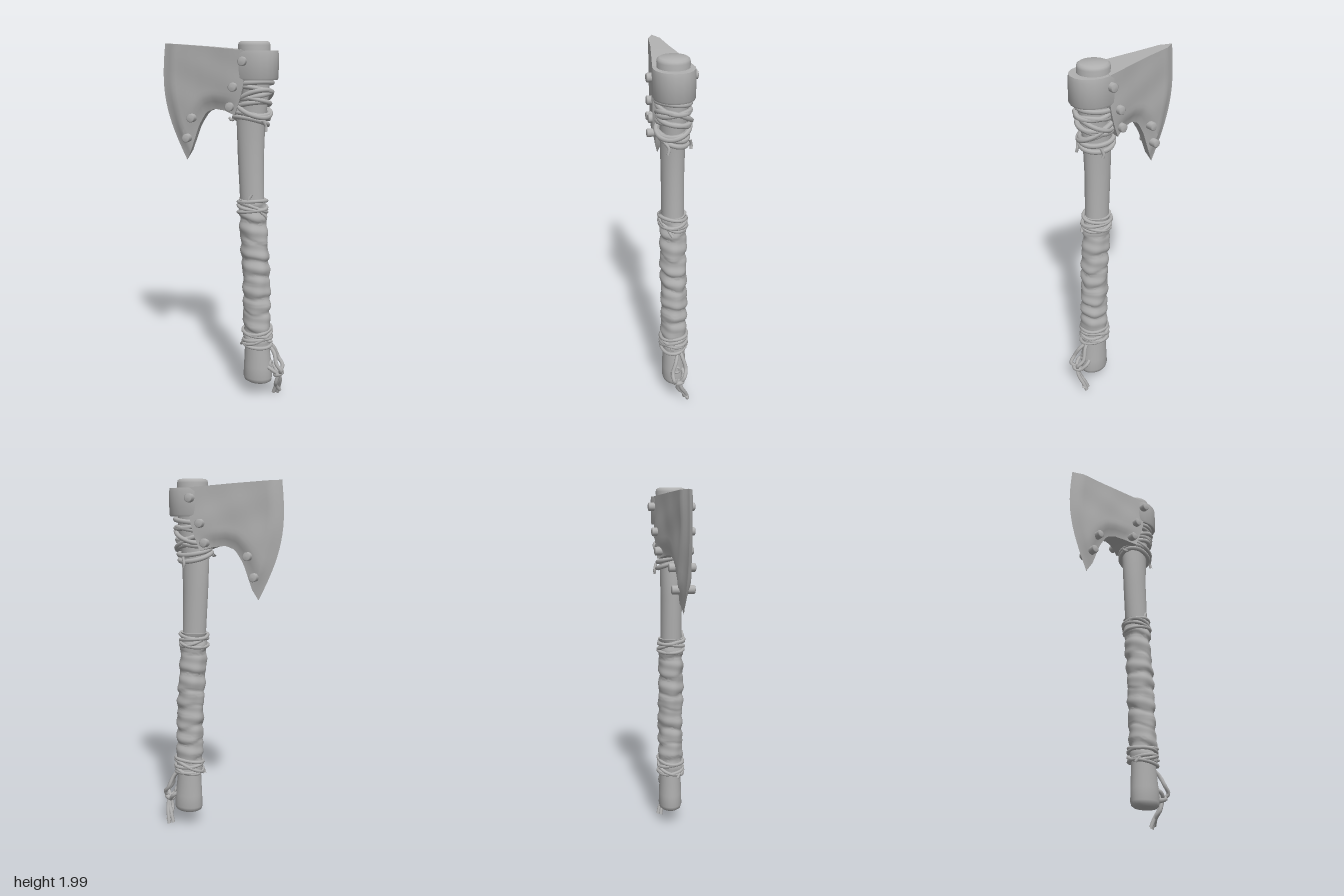
import * as THREE from 'three';
import { mergeVertices, toCreasedNormals } from 'three/addons/utils/BufferGeometryUtils.js';

const V = (x, y, z) => new THREE.Vector3(x, y, z);
const { lerp, smoothstep, clamp } = THREE.MathUtils;
const clay = new THREE.MeshStandardMaterial({ color: 0xb0b0b0 });
clay.name = 'plain grey';

// Reads a table of [key, value, ...] rows with straight interpolation
function sample(table, k) {
  let i = 0;
  while (i < table.length - 2 && k > table[i + 1][0]) i++;
  const a = table[i], b = table[i + 1];
  const t = clamp((k - a[0]) / (b[0] - a[0]), 0, 1);
  return a.map((v, j) => lerp(v, b[j], t));
}

// Skins closed rings into a capped solid; rings run anticlockwise seen from the last ring's end
function loft(rings, crease) {
  const n = rings[0].length, pos = [], idx = [];
  rings.forEach(r => r.forEach(p => pos.push(p.x, p.y, p.z)));
  for (let i = 0; i < rings.length - 1; i++) for (let j = 0; j < n; j++) {
    const a = i * n + j, b = i * n + (j + 1) % n;
    idx.push(a, b, a + n, b, b + n, a + n);
  }
  [0, rings.length - 1].forEach((k, end) => {
    const c = rings[k].reduce((s, p) => s.add(p), V(0, 0, 0)).divideScalar(n);
    pos.push(c.x, c.y, c.z);
    const m = pos.length / 3 - 1;
    for (let j = 0; j < n; j++) {
      const a = k * n + j, b = k * n + (j + 1) % n;
      idx.push(...(end ? [m, a, b] : [m, b, a]));
    }
  });
  const g = new THREE.BufferGeometry();
  g.setAttribute('position', new THREE.Float32BufferAttribute(pos, 3));
  g.setIndex(idx);
  return toCreasedNormals(mergeVertices(g), crease);
}

// Handle centre line: y, centre x, radius in x, radius in z
const shaft = [
  [0.10, 0.2, 0.066, 0.052], [0.11, 0.198, 0.079, 0.064], [0.13, 0.197, 0.084, 0.069], [0.20, 0.196, 0.08, 0.068],
  [0.33, 0.19, 0.069, 0.062], [0.6, 0.186, 0.068, 0.063], [0.9, 0.17, 0.068, 0.063],
  [1.15, 0.153, 0.066, 0.06], [1.4, 0.143, 0.071, 0.06], [1.6, 0.142, 0.078, 0.064],
  [1.75, 0.165, 0.075, 0.068], [1.85, 0.157, 0.08, 0.078], [1.98, 0.156, 0.084, 0.082],
  [1.993, 0.156, 0.081, 0.079], [2.0, 0.156, 0.07, 0.068],
];
const shaftRing = (y, n, grow) => Array.from({ length: n }, (_, j) => {
  const a = j / n * Math.PI * 2, [, cx, rx, rz] = sample(shaft, y), g = grow(a);
  return V(cx + Math.cos(a) * (rx + g), y, -Math.sin(a) * (rz + g));
});

function tube(points, r, closed = false) {
  const curve = new THREE.CatmullRomCurve3(points, closed);
  return new THREE.TubeGeometry(curve, closed ? 40 : points.length * 6, r, 7, closed);
}

export function createModel() {
  const root = new THREE.Group();
  root.name = 'axe';
  const add = (name, geo, parent = root) => {
    const m = new THREE.Mesh(geo, clay);
    m.name = name;
    parent.add(m);
    return m;
  };
  const group = name => {
    const g = new THREE.Group();
    g.name = name;
    root.add(g);
    return g;
  };

  // Wooden handle
  add('handle', loft(shaft.map(r => shaftRing(r[0], 24, () => 0)), 1));

  // Leather grip: uneven bands that overlap like a bandage, with creases
  const grip = [];
  for (let i = 0; i <= 90; i++) {
    const y = 0.34 + i / 90 * 0.83;
    grip.push(shaftRing(y, 32, a => {
      const t = y / 0.105 + 0.12 * Math.sin(a * 2 + y * 9) + 0.08 * Math.cos(a) + 0.1 * Math.sin(y * 23);
      const f = t - Math.floor(t);
      return 0.002 + 0.009 * Math.sin(Math.PI * Math.pow(f, 0.6))
        + 0.005 * Math.sin(a * 3 + y * 37) * Math.sin(a * 2 - y * 52);
    }));
  }
  add('leatherGrip', loft(grip, 1.2));

  // Axe blade: rings run from the cutting edge to the cheek beside the eye
  const topLine = [[0, -0.345, 1.99], [0.12, -0.285, 1.987], [0.5, -0.11, 1.975], [1, 0.13, 1.955]];
  const lowLine = [[0, -0.225, 1.365], [0.12, -0.195, 1.42], [0.3, -0.145, 1.56], [0.42, -0.1, 1.632],
    [0.55, -0.05, 1.652], [0.75, 0.015, 1.645], [1, 0.078, 1.625]];
  const thickness = [[-0.36, 0.03], [-0.29, 0.03], [-0.15, 0.048], [0, 0.075], [0.1, 0.093], [0.17, 0.105]];
  const blade = [], U = 25, N = 16;
  for (let i = 0; i <= U; i++) {
    const u = i / U, [, tx, ty] = sample(topLine, u), [, bx, by] = sample(lowLine, u), front = [], back = [];
    for (let j = 0; j <= N; j++) {
      const v = j / N, s = Math.sin(Math.PI * v);
      const x = lerp(tx, bx, v) - 0.06 * s * Math.pow(1 - u, 2) + 0.025 * s * u * u;
      const y = lerp(ty, by, v);
      const dent = 0.004 * s * Math.sin(x * 21 + y * 9) * Math.sin(y * 17 - x * 8);
      const beard = 1 - 0.6 * smoothstep(v, 0.75, 1) * (1 - u * u);
      const h = Math.max(0.001, (sample(thickness, x)[1] + dent) * Math.min(1, u / 0.12) * beard);
      front.push(V(x, y, h));
      back.unshift(V(x, y, -h));
    }
    blade.push([...front, ...back]);
  }
  add('blade', loft(blade, 0.6));

  // Socket that closes around the top of the handle
  const half = [[0.09, 0.09], [0.14, 0.104], [0.185, 0.106], [0.22, 0.096], [0.25, 0.078], [0.272, 0.052], [0.284, 0.02]];
  const plan = [...half, ...half.map(([x, z]) => [x, -z]).reverse()];
  const socket = [[1.805, 0.96], [1.815, 1], [1.935, 1], [1.953, 0.97]].map(([y, s]) =>
    plan.map(([x, z]) => V(0.156 + (x - 0.156) * s, y + (y > 1.9 ? 0.01 * (0.2 - x) : 0), z * s)));
  add('socket', loft(socket, 0.9));

  // Rivets, each one pin with a head on both sides
  const rivets = group('rivets');
  [[0.127, 1.9, 0.13], [0.073, 1.77, 0.12], [0.052, 1.668, 0.108], [-0.178, 1.6, 0.072], [-0.21, 1.49, 0.063]]
    .forEach(([x, y, z]) => {
      const profile = [[0, -z], [0.018, -z + 0.001], [0.023, -z + 0.005], [0.023, z - 0.005], [0.018, z - 0.001], [0, z]]
        .map(p => new THREE.Vector2(...p));
      const m = add('rivet', new THREE.LatheGeometry(profile, 14), rivets);
      m.rotation.x = Math.PI / 2;
      m.position.set(x, y, 0);
    });

  // Cord loops tied around the handle: y, tilt in x, tilt in z, standoff
  const cordLoop = (parent, y, tx, tz, off, r) => {
    const pts = Array.from({ length: 16 }, (_, j) => {
      const a = j / 16 * Math.PI * 2, [, cx, rx, rz] = sample(shaft, y);
      const o = off + 0.003 * Math.sin(a * 3 + y * 40);
      return V(cx + Math.cos(a) * (rx + o), y + tx * Math.cos(a) + tz * Math.sin(a), Math.sin(a) * (rz + o));
    });
    add('cord', tube(pts, r, true), parent);
  };
  const upper = group('upperBinding'), middle = group('middleBinding'), lower = group('lowerBinding');
  [[1.785, 0.008, 0.008], [1.757, -0.012, 0.012], [1.728, 0.015, -0.012], [1.7, -0.014, 0.014], [1.672, 0.016, 0.016],
    [1.645, -0.018, -0.014], [1.618, -0.012, 0.016], [1.59, -0.014, 0.022], [1.71, 0.035, 0.03], [1.66, -0.04, -0.025]]
    .forEach(([y, a, b], i) => cordLoop(upper, y, a, b, i > 7 ? 0.018 : 0.012, 0.013));
  [[1.155, 0.008, 0.01], [1.13, -0.008, -0.008], [1.105, 0.012, 0.006], [1.125, -0.024, 0.02]]
    .forEach(([y, a, b]) => cordLoop(middle, y, a, b, 0.011, 0.01));
  [[0.415, 0.008, -0.01], [0.39, -0.01, 0.008], [0.36, 0.012, 0.01], [0.338, -0.008, -0.012], [0.375, 0.03, -0.022]]
    .forEach(([y, a, b]) => cordLoop(lower, y, a, b, 0.011, 0.01));

  // Frayed cord ends sticking out of the bindings
  const ends = group('cordEnds');
  [[[0.22, 1.6, 0.06], [0.235, 1.57, 0.04], [0.24, 1.54, 0.045]], [[0.07, 1.61, 0.03], [0.045, 1.595, 0.03], [0.03, 1.605, 0.02]],
    [[0.18, 1.59, -0.08], [0.17, 1.555, -0.09], [0.175, 1.535, -0.088]], [[0.15, 1.15, 0.07], [0.155, 1.18, 0.068], [0.17, 1.205, 0.062]],
    [[0.21, 1.11, 0.04], [0.23, 1.09, 0.03], [0.24, 1.075, 0.02]], [[0.13, 0.36, 0.05], [0.115, 0.34, 0.04], [0.105, 0.325, 0.03]],
    [[0.25, 0.37, 0.03], [0.27, 0.36, 0.03], [0.285, 0.365, 0.02]]]
    .forEach(p => add('cordEnd', tube(p.map(q => V(...q)), 0.008), ends));

  // Lanyard: two loops through the butt, a knot and hanging strands
  const lanyard = group('lanyard');
  [[[0.22, 0.21, 0], [0.28, 0.195, 0.03], [0.31, 0.17, 0.02], [0.32, 0.155, 0]],
    [[0.25, 0.34, -0.02], [0.28, 0.305, -0.03], [0.305, 0.24, -0.045], [0.335, 0.2, -0.03], [0.325, 0.16, -0.005]],
    [[0.25, 0.33, -0.01], [0.295, 0.285, 0.01], [0.315, 0.23, 0.032], [0.342, 0.19, 0.03], [0.32, 0.16, 0.005]],
    [[0.23, 0.22, -0.02], [0.275, 0.19, -0.04], [0.31, 0.15, -0.02]],
    [[0.325, 0.16, 0], [0.315, 0.11, -0.015], [0.295, 0.06, -0.035], [0.28, 0.015, -0.045]],
    [[0.325, 0.16, 0], [0.325, 0.11, -0.02], [0.312, 0.06, -0.045], [0.3, 0.012, -0.06]],
    [[0.32, 0.15, 0.005], [0.305, 0.1, 0], [0.3, 0.07, -0.025], [0.315, 0.03, -0.055]]]
    .forEach(p => add('strand', tube(p.map(q => V(...q)), 0.011), lanyard));
  const knot = add('knot', new THREE.TorusGeometry(0.02, 0.014, 8, 16), lanyard);
  knot.position.set(0.32, 0.16, 0);
  knot.rotation.set(Math.PI / 2, 0.4, 0);

  // Cord ring around the hole in the butt
  const eyelet = add('eyelet', new THREE.TorusGeometry(0.018, 0.008, 8, 16), lanyard);
  eyelet.position.set(0.273, 0.21, 0);
  eyelet.rotation.y = Math.PI / 2;

  return root;
}
